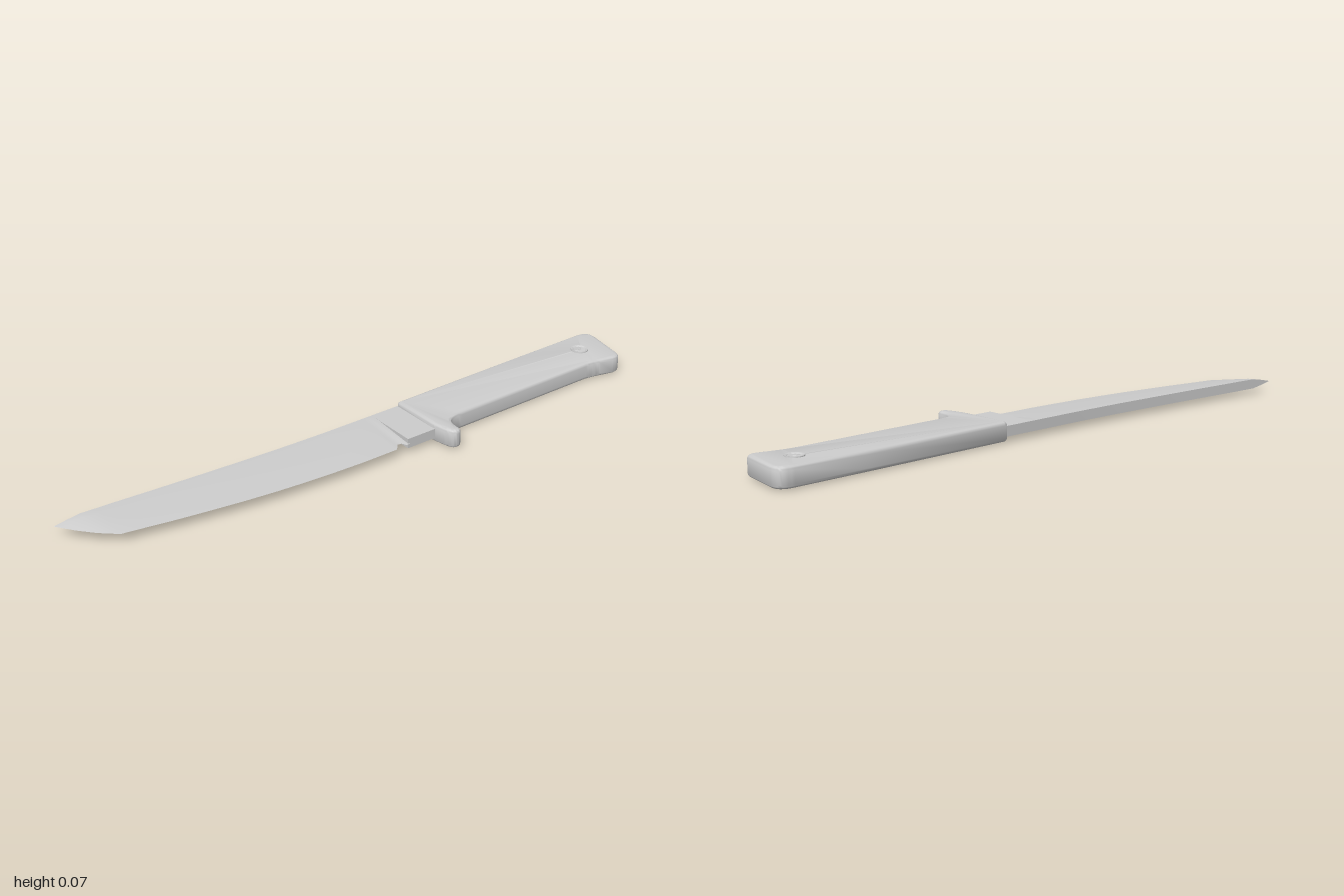
import * as THREE from 'three';
import { toCreasedNormals } from 'three/addons/utils/BufferGeometryUtils.js';

const material = new THREE.MeshStandardMaterial({ color: 0xcccccc });
const MID = 0.034; // height of the knife's middle plane

function part(name, geometry, crease = 0.6) {
  const mesh = new THREE.Mesh(toCreasedNormals(geometry, crease), material);
  mesh.name = name;
  return mesh;
}

// Blade: wedge cross-sections lofted along z
function bladeGeometry() {
  // [z, spine x, edge x, half thickness at the spine]
  const sections = [
    [-0.08, -0.105, 0.083, 0.016], [-0.066, -0.105, 0.084, 0.016],
    [-0.06, -0.105, 0.068, 0.016], [-0.045, -0.105, 0.066, 0.016],
    [-0.038, -0.105, 0.076, 0.016], [-0.025, -0.105, 0.088, 0.016],
    [0.1, -0.105, 0.088, 0.016], [0.2, -0.107, 0.084, 0.016],
    [0.3, -0.11, 0.078, 0.016], [0.4, -0.115, 0.069, 0.016],
    [0.5, -0.12, 0.057, 0.016], [0.6, -0.126, 0.042, 0.016],
    [0.7, -0.132, 0.026, 0.016], [0.8, -0.139, 0.007, 0.016],
    [0.87, -0.143, -0.006, 0.016], [0.92, -0.147, -0.05, 0.0155],
    [0.96, -0.149, -0.096, 0.009], [1.0, -0.152, -0.1515, 0.0003],
  ];
  const positions = [];
  const index = [];
  const n = 5;
  for (const [z, spine, edge, h] of sections) {
    const shoulder = spine + (edge - spine) * 0.22;
    positions.push(spine, MID + h, z, shoulder, MID + h * 0.95, z, edge, MID, z,
      shoulder, MID - h * 0.95, z, spine, MID - h, z);
  }
  for (let k = 0; k < sections.length - 1; k++) {
    for (let j = 0; j < n; j++) {
      const a = k * n + j;
      const b = k * n + (j + 1) % n;
      index.push(a, a + n, b, b, a + n, b + n);
    }
  }
  for (let j = 1; j < n - 1; j++) index.push(0, j, j + 1);
  const geometry = new THREE.BufferGeometry();
  geometry.setAttribute('position', new THREE.Float32BufferAttribute(positions, 3));
  geometry.setIndex(index);
  return geometry;
}

// Handle with finger guard: outline in x and z, extruded with a rounded rim
function handleGeometry() {
  const s = new THREE.Shape();
  s.moveTo(-0.1, -0.178);
  s.lineTo(0.06, -0.178);
  s.quadraticCurveTo(0.09, -0.18, 0.122, -0.188);
  s.bezierCurveTo(0.146, -0.194, 0.152, -0.204, 0.15, -0.217);
  s.quadraticCurveTo(0.147, -0.233, 0.13, -0.232);
  s.bezierCurveTo(0.085, -0.232, 0.067, -0.245, 0.065, -0.3);
  s.lineTo(0.06, -0.83);
  s.quadraticCurveTo(0.061, -0.855, 0.07, -0.89);
  s.lineTo(0.081, -0.935);
  s.quadraticCurveTo(0.086, -0.966, 0.06, -0.974);
  s.lineTo(-0.07, -0.999);
  s.quadraticCurveTo(-0.119, -1.006, -0.119, -0.95);
  s.lineTo(-0.117, -0.7);
  s.lineTo(-0.109, -0.19);
  s.quadraticCurveTo(-0.109, -0.178, -0.1, -0.178);
  const hole = new THREE.Path();
  hole.absarc(-0.028, -0.885, 0.018, 0, Math.PI * 2, true);
  s.holes.push(hole);
  const bevel = 0.012;
  const depth = 0.062 - 2 * bevel;
  const geometry = new THREE.ExtrudeGeometry(s, {
    depth, curveSegments: 10, bevelEnabled: true,
    bevelThickness: bevel, bevelSize: bevel, bevelOffset: -bevel, bevelSegments: 4,
  });
  geometry.translate(0, 0, -depth / 2);
  geometry.rotateX(Math.PI / 2);
  geometry.translate(0, MID, 0);
  return geometry;
}

// Lined lanyard hole: a tube with a softly flared rim
function grommetGeometry() {
  const profile = [
    [0.016, -0.024], [0.029, -0.03], [0.029, 0.03], [0.028, 0.034],
    [0.024, 0.034], [0.018, 0.029], [0.016, 0.024],
  ];
  const lower = [[0.018, -0.029], [0.024, -0.034], [0.028, -0.034]];
  const points = [profile[0], ...lower, ...profile.slice(1), profile[0]];
  const geometry = new THREE.LatheGeometry(points.map(([x, y]) => new THREE.Vector2(x, y)), 32);
  geometry.translate(-0.028, MID, -0.885);
  return geometry;
}

export function createModel() {
  const model = new THREE.Group();
  model.name = 'knife';
  model.add(part('blade', bladeGeometry(), 0.4));

  // Unsharpened block between blade and handle
  const ricasso = new THREE.BoxGeometry(0.185, 0.032, 0.14);
  ricasso.translate(-0.0125, MID, -0.145);
  model.add(part('ricasso', ricasso));

  model.add(part('handle', handleGeometry(), 0.7));
  model.add(part('lanyardGrommet', grommetGeometry(), 0.8));
  return model;
}
